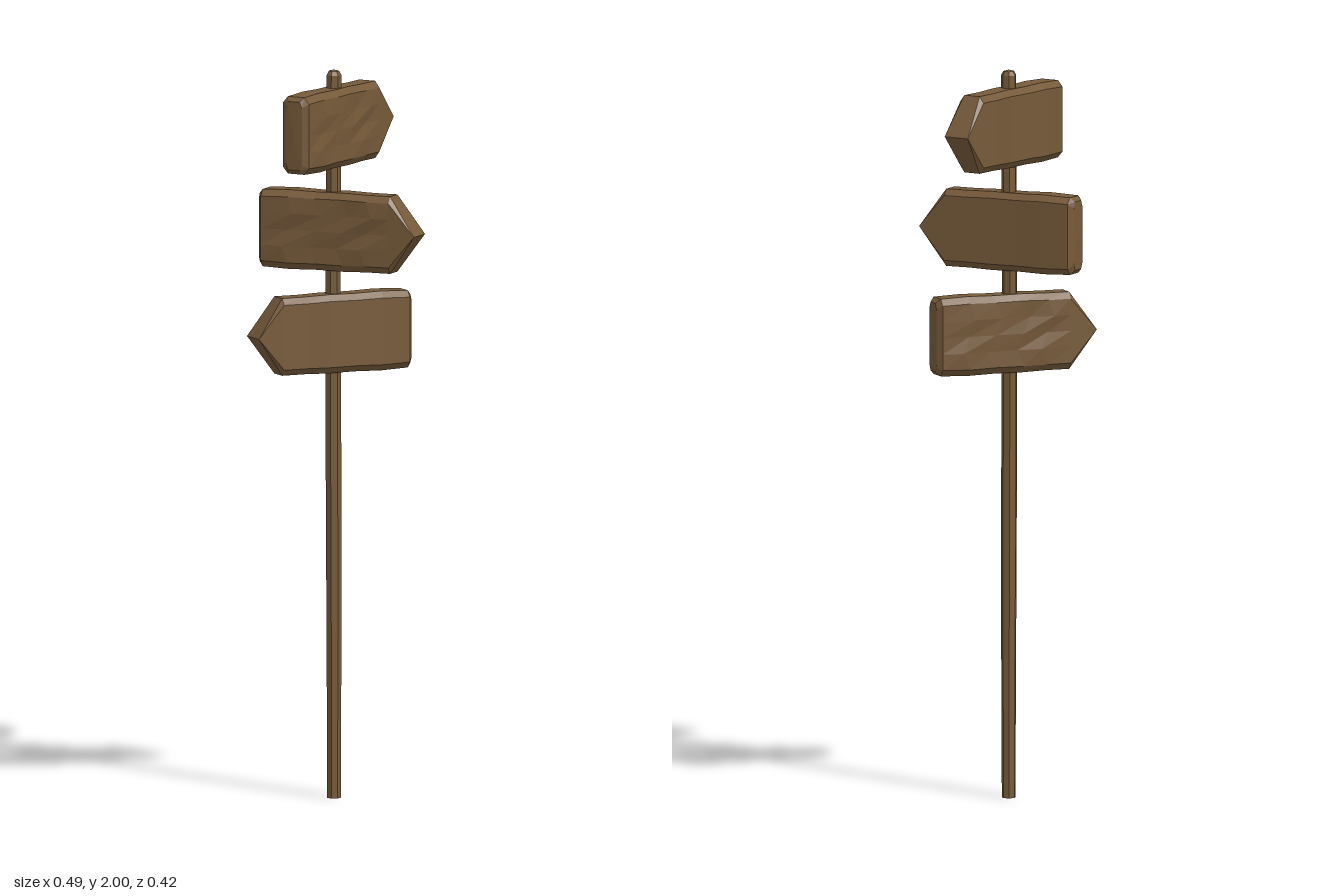
import * as THREE from 'three';

const wood = new THREE.MeshStandardMaterial({ color: 0x765a3a, flatShading: true });

// Lofted arrow board pointing along +x: chamfered block, carved grain on the +z face
function boardGeometry() {
  const rows = [-0.09, -0.045, 0, 0.045, 0.09];
  // x, half height, half thickness, half width of the top flat
  const sections = [
    [-0.211, 0.094, 0.025, 0.018],
    [-0.199, 0.106, 0.041, 0.026],
    [-0.12, 0.109, 0.042, 0.027],
    [-0.04, 0.107, 0.039, 0.025],
    [0.04, 0.108, 0.038, 0.025],
    [0.11, 0.106, 0.039, 0.024],
    [0.178, 0.106, 0.038, 0.025],
    [0.254, 0, 0.038, 0.038],
  ];
  const rings = sections.map(([x, h, t, flat], s) => {
    const k = h / 0.108, low = h * 0.84;
    const carved = s > 1 && s < 6;
    const p = rows.map((y, i) => {
      const inner = carved && i > 0 && i < 4;
      const dent = inner ? 0.0035 * Math.sin(s * 2.3 + i * 2.9) : 0;
      const slide = inner ? (i - 2) * 0.018 : 0;
      return [x + slide, y * k, t + dent];
    });
    p.push([x, h, flat], [x, h, -flat], [x, low, -t], [x, -low, -t], [x, -h, -flat], [x, -h, flat]);
    return p;
  });

  const pos = [];
  const tri = (...corners) => corners.forEach((c) => pos.push(...c));
  const n = rings[0].length;
  for (let s = 0; s < rings.length - 1; s++) {
    for (let i = 0; i < n; i++) {
      const j = (i + 1) % n;
      const a = rings[s][i], b = rings[s + 1][i], c = rings[s + 1][j], d = rings[s][j];
      tri(a, b, c);
      tri(a, c, d);
    }
  }
  // tail cap
  for (let i = 0; i < n; i++) tri([-0.213, 0, 0], rings[0][i], rings[0][(i + 1) % n]);

  const geo = new THREE.BufferGeometry();
  geo.setAttribute('position', new THREE.Float32BufferAttribute(pos, 3));
  geo.computeVertexNormals();
  return geo;
}

// Seven-sided post with a slight hand-cut bend and a blunt top
function postGeometry() {
  const profile = [[0, 0], [0.019, 0], [0.021, 0.45], [0.022, 0.9], [0.021, 1.4], [0.021, 1.985], [0.015, 1.996], [0, 2]];
  const geo = new THREE.LatheGeometry(profile.map(([r, y]) => new THREE.Vector2(r, y)), 7);
  const p = geo.attributes.position;
  for (let i = 0; i < p.count; i++) {
    const y = p.getY(i);
    p.setX(i, p.getX(i) - 0.002 * Math.sin(y * Math.PI / 2));
    p.setZ(i, p.getZ(i) + 0.002 * Math.sin(y * Math.PI));
  }
  geo.computeVertexNormals();
  return geo;
}

export function createModel() {
  const model = new THREE.Group();
  model.name = 'signpost';

  const post = new THREE.Mesh(postGeometry(), wood);
  post.name = 'post';
  post.position.set(-0.001, 0, -0.026);
  model.add(post);

  // name, height, pointing direction in x and z
  const board = boardGeometry();
  const boards = [
    ['topBoard', 1.843, 0.894, -0.447],
    ['middleBoard', 1.558, 0.56, 0.829],
    ['bottomBoard', 1.278, -0.992, -0.125],
  ];
  for (const [name, y, dx, dz] of boards) {
    const mesh = new THREE.Mesh(board, wood);
    mesh.name = name;
    mesh.position.set(-0.002, y, -0.025);
    mesh.rotation.y = Math.atan2(-dz, dx);
    if (name === 'bottomBoard') mesh.position.x = 0.01;
    model.add(mesh);
  }
  return model;
}
